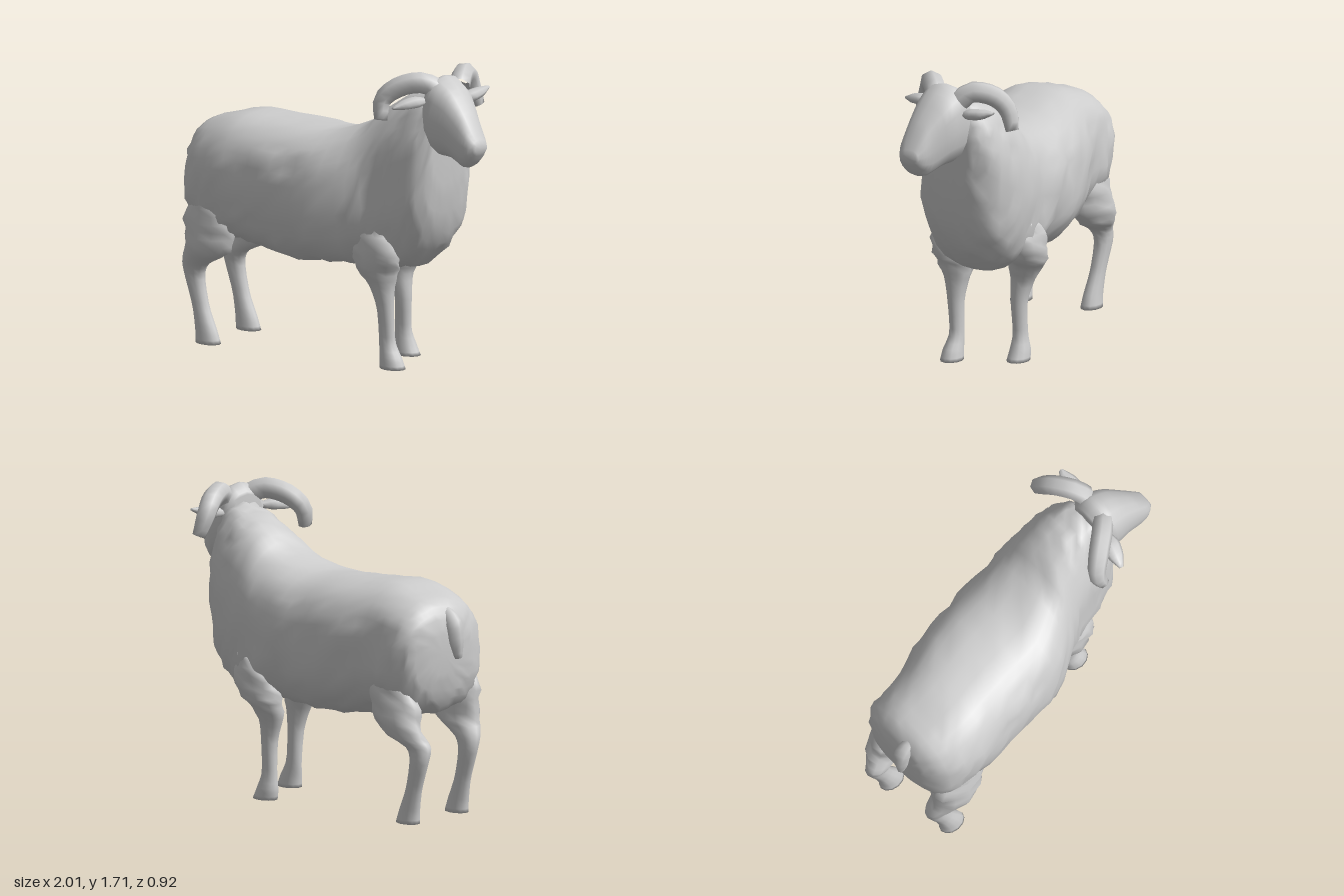
import * as THREE from 'three';
import { mergeVertices } from 'three/addons/utils/BufferGeometryUtils.js';

const wool = new THREE.MeshStandardMaterial({ color: 0xcccccc });
wool.name = 'pale grey';

// Closed smooth skin over a list of rings (arrays of Vector3, equal length)
function skin(rings) {
  const n = rings[0].length, pos = [], idx = [];
  rings.forEach(r => r.forEach(p => pos.push(p.x, p.y, p.z)));
  for (let i = 0; i < rings.length - 1; i++) for (let j = 0; j < n; j++) {
    const a = i * n + j, b = i * n + (j + 1) % n;
    idx.push(a, b, a + n, b, b + n, a + n);
  }
  [0, rings.length - 1].forEach((e, k) => {
    const c = new THREE.Vector3();
    rings[e].forEach(p => c.addScaledVector(p, 1 / n));
    const ci = pos.length / 3;
    pos.push(c.x, c.y, c.z);
    for (let j = 0; j < n; j++) {
      const a = e * n + j, b = e * n + (j + 1) % n;
      if (k) idx.push(ci, a, b); else idx.push(ci, b, a);
    }
  });
  const g = new THREE.BufferGeometry();
  g.setAttribute('position', new THREE.Float32BufferAttribute(pos, 3));
  g.setIndex(idx);
  g.computeVertexNormals();
  return g;
}

// Smoothly resample rows of five numbers
function resample(rows, count) {
  const curve = f => new THREE.CatmullRomCurve3(rows.map(f), false, 'catmullrom', 0.4);
  const a = curve(r => new THREE.Vector3(r[0], r[1], r[2]));
  const b = curve(r => new THREE.Vector3(r[3], r[4], 0));
  return Array.from({ length: count + 1 }, (_, i) => {
    const p = a.getPoint(i / count), q = b.getPoint(i / count);
    return [p.x, p.y, p.z, q.x, q.y];
  });
}

const sp = (v, e) => Math.sign(v) * Math.abs(v) ** e;
const ring = (n, f) => Array.from({ length: n }, (_, j) => f(j / n * Math.PI * 2));

// Repeatable value from -1 to 1 for a point
function hash({ x, y, z }) {
  const s = Math.sin(x * 127.1 + y * 311.7 + z * 74.7) * 43758.55;
  return (s - Math.floor(s)) * 2 - 1;
}

// Ragged fleece offset, smoother along the back
function lump(p, centre, amount) {
  const soft = Math.sin(14 * p.x + 2) * Math.sin(12 * p.y - 5 * p.z);
  const rough = p.y > 1.15 && p.x < 0.45 ? 0.3 : 1;
  const d = (soft * 0.4 + hash(p) * 0.8) * amount * rough;
  return p.addScaledVector(p.clone().sub(centre).normalize(), d);
}

// Rows: x, bottom y, top y, centre z, half width; the chest end can be pear-shaped
function bodyLoft(rows, count, sides, bumps, e, pear) {
  return skin(resample(rows, count).map(([x, lo, hi, z, w]) => {
    const c = new THREE.Vector3(x, (lo + hi) / 2, z);
    const sag = pear * THREE.MathUtils.smoothstep(x, 0, 0.4);
    return ring(sides, t => lump(new THREE.Vector3(x, c.y + sp(Math.cos(t), e) * (hi - lo) / 2,
      z + sp(Math.sin(t), e) * w * (1 - sag * Math.cos(t))), c, bumps));
  }));
}

// Rows from the ground up: y, centre x, centre z, radius x, radius z
function legLoft(rows) {
  return skin(resample(rows, 22).map(([y, x, z, rx, rz]) => {
    const c = new THREE.Vector3(x, y, z);
    return ring(12, t => lump(new THREE.Vector3(x + Math.sin(t) * rx, y, z + Math.cos(t) * rz),
      c, y > 0.52 ? 0.016 : 0));
  }));
}

// Tube with varying radius, optionally flattened in height
function taper(points, radii, sides, flat = 1) {
  const curve = new THREE.CatmullRomCurve3(points.map(p => new THREE.Vector3(...p)));
  const seg = 10;
  let g = new THREE.TubeGeometry(curve, seg, 1, sides);
  const pos = g.attributes.position, v = new THREE.Vector3();
  for (let i = 0; i < pos.count; i++) {
    const t = Math.floor(i / (sides + 1)) / seg, c = curve.getPointAt(t);
    const k = t * (radii.length - 1), a = Math.min(Math.floor(k), radii.length - 2);
    const r = THREE.MathUtils.lerp(radii[a], radii[a + 1], k - a);
    v.fromBufferAttribute(pos, i).sub(c).multiplyScalar(r);
    v.y *= flat;
    v.add(c);
    pos.setXYZ(i, v.x, v.y, v.z);
  }
  // Weld the seam, then close the tip with a fan
  g.deleteAttribute('normal');
  g.deleteAttribute('uv');
  g = mergeVertices(g, 1e-5);
  const idx = Array.from(g.index.array), last = g.attributes.position.count - sides;
  for (let j = 1; j < sides - 1; j++) idx.push(last, last + j + 1, last + j);
  g.setIndex(idx);
  g.computeVertexNormals();
  return g;
}

export function createModel() {
  const group = new THREE.Group();
  const add = (name, geometry) => {
    const m = new THREE.Mesh(geometry, wool);
    m.name = name;
    group.add(m);
  };

  // Fleece from rump to throat
  add('body', bodyLoft([
    [-0.955, 0.86, 1.08, 0.065, 0.11], [-0.93, 0.74, 1.18, 0.07, 0.22],
    [-0.87, 0.64, 1.255, 0.09, 0.295], [-0.75, 0.61, 1.30, 0.10, 0.335],
    [-0.60, 0.60, 1.335, 0.095, 0.345], [-0.40, 0.57, 1.325, 0.05, 0.37],
    [-0.20, 0.54, 1.315, 0.02, 0.38], [0.00, 0.555, 1.31, 0.00, 0.375],
    [0.20, 0.56, 1.38, -0.06, 0.33], [0.30, 0.56, 1.47, -0.09, 0.305],
    [0.40, 0.57, 1.535, -0.10, 0.29], [0.50, 0.61, 1.575, -0.10, 0.275],
    [0.60, 0.72, 1.60, -0.095, 0.24], [0.66, 0.88, 1.58, -0.085, 0.185],
    [0.69, 1.08, 1.50, -0.07, 0.13]], 36, 40, 0.017, 0.82, 0.13));

  // Head tapering to the muzzle
  add('head', bodyLoft([
    [0.61, 1.34, 1.64, -0.06, 0.11], [0.65, 1.29, 1.68, -0.055, 0.145],
    [0.70, 1.25, 1.695, -0.05, 0.155], [0.80, 1.245, 1.635, -0.04, 0.135],
    [0.90, 1.21, 1.525, -0.015, 0.10], [0.96, 1.25, 1.43, -0.005, 0.08],
    [1.00, 1.31, 1.36, -0.005, 0.05]], 18, 16, 0, 0.84, 0));

  // Curled horns
  const hornRadii = [0.06, 0.06, 0.058, 0.052, 0.038];
  add('leftHorn', taper([[0.70, 1.62, -0.16], [0.67, 1.665, -0.21], [0.605, 1.645, -0.32],
    [0.57, 1.57, -0.39], [0.585, 1.455, -0.43]], hornRadii, 7));
  add('rightHorn', taper([[0.67, 1.63, 0.01], [0.62, 1.66, 0.06], [0.52, 1.635, 0.14],
    [0.45, 1.56, 0.20], [0.465, 1.455, 0.23]], hornRadii, 7));

  // Flat ears
  const earRadii = [0.03, 0.055, 0.045, 0.012];
  add('leftEar', taper([[0.68, 1.54, -0.17], [0.70, 1.55, -0.25], [0.71, 1.58, -0.38]], earRadii, 8, 0.6));
  add('rightEar', taper([[0.64, 1.56, 0.06], [0.62, 1.56, 0.13], [0.58, 1.54, 0.26]], earRadii, 8, 0.6));

  // Short tail
  add('tail', taper([[-0.88, 1.19, 0.13], [-0.94, 1.14, 0.135], [-0.96, 1.05, 0.14],
    [-0.975, 0.94, 0.15]], [0.04, 0.05, 0.045, 0.02], 8));

  // Front legs, their woolly shoulders lying shallow against the fleece
  add('rightFrontLeg', legLoft([
    [0.01, 0.405, 0.07, 0.08, 0.062], [0.07, 0.39, 0.07, 0.07, 0.055],
    [0.16, 0.36, 0.065, 0.05, 0.04], [0.34, 0.355, 0.075, 0.05, 0.047],
    [0.47, 0.335, 0.08, 0.075, 0.072], [0.56, 0.32, 0.09, 0.12, 0.11],
    [0.64, 0.32, 0.115, 0.15, 0.105], [0.74, 0.32, 0.125, 0.14, 0.085], [0.84, 0.32, 0.13, 0.06, 0.05]]));
  add('leftFrontLeg', legLoft([
    [0.01, 0.225, -0.25, 0.08, 0.062], [0.07, 0.205, -0.25, 0.07, 0.055],
    [0.16, 0.195, -0.245, 0.05, 0.04], [0.34, 0.20, -0.24, 0.05, 0.047],
    [0.47, 0.175, -0.25, 0.07, 0.07], [0.56, 0.185, -0.28, 0.105, 0.105],
    [0.64, 0.22, -0.31, 0.14, 0.10], [0.74, 0.25, -0.325, 0.13, 0.08], [0.84, 0.27, -0.33, 0.06, 0.05]]));

  // Hind legs: shared shape, the left one set further back
  const hindLeg = (dx, dz, hip) => legLoft([
    [0.02, -0.75, 0.32, 0.08, 0.057], [0.09, -0.765, 0.32, 0.07, 0.05],
    [0.22, -0.81, 0.315, 0.053, 0.042], [0.38, -0.86, 0.31, 0.062, 0.05],
    [0.46, -0.845, 0.32, 0.083, 0.065], [0.54, -0.755, 0.335, 0.145, 0.095],
    [0.65, -0.725, 0.335, 0.175, 0.10], [0.77, -0.725, 0.345, 0.15, 0.08], [0.88, -0.72, 0.35, 0.06, 0.05]]
    .map(([y, x, z, rx, rz]) => [y, x + dx * THREE.MathUtils.clamp((0.8 - y) / 0.35, 0, 1),
      y > 0.5 ? hip(z) : z + dz, rx, rz]));
  add('rightHindLeg', hindLeg(0, 0, z => z));
  add('leftHindLeg', hindLeg(-0.075, -0.41, z => 0.21 - z));

  return group;
}
